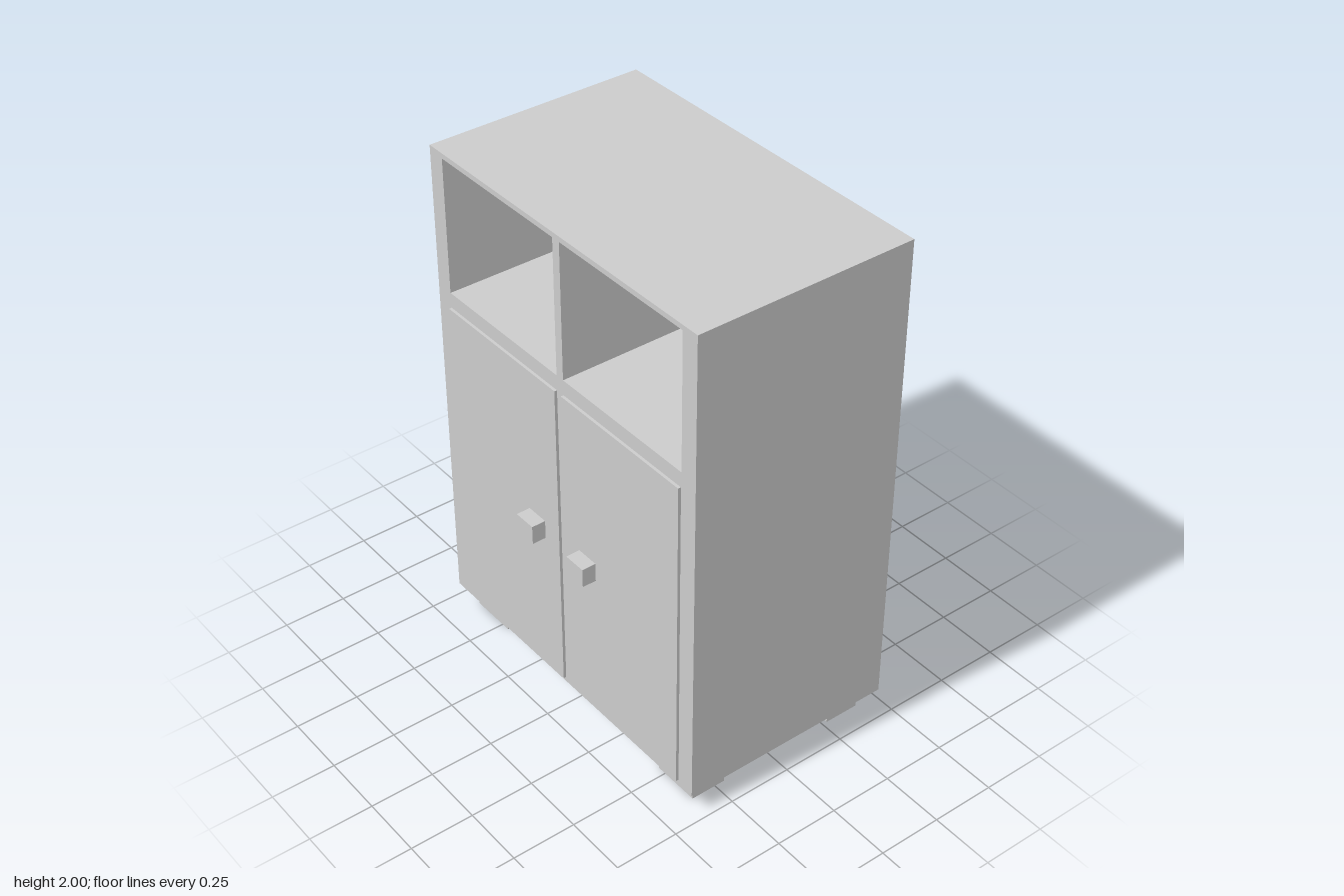
import * as THREE from 'three';

const material = new THREE.MeshStandardMaterial({ color: 0xcccccc, flatShading: true });

// Box given by its limits on each axis
function box(name, [x0, x1], [y0, y1], [z0, z1]) {
  const mesh = new THREE.Mesh(new THREE.BoxGeometry(x1 - x0, y1 - y0, z1 - z0), material);
  mesh.position.set((x0 + x1) / 2, (y0 + y1) / 2, (z0 + z1) / 2);
  mesh.name = name;
  return mesh;
}

// Adds a rectangle to a shape or path
function rectangle(path, x0, y0, x1, y1) {
  path.moveTo(x0, y0);
  path.lineTo(x1, y0);
  path.lineTo(x1, y1);
  path.lineTo(x0, y1);
  path.closePath();
  return path;
}

export function createModel() {
  const cabinet = new THREE.Group();
  cabinet.name = 'cabinet';

  const front = -0.4, back = 0.464, panel = 0.03;
  const bottom = 0.09, top = 2, half = 0.711;

  // Carcass with two open compartments, doors facing -x
  const outline = rectangle(new THREE.Shape(), -half, bottom, half, top);
  outline.holes.push(
    rectangle(new THREE.Path(), -0.64, 1.45, -0.018, 1.98),
    rectangle(new THREE.Path(), 0.018, 1.45, 0.64, 1.98)
  );
  const geometry = new THREE.ExtrudeGeometry(outline, {
    depth: back - panel - front,
    bevelEnabled: false,
  });
  geometry.rotateY(Math.PI / 2);
  geometry.translate(front, 0, 0);
  const carcass = new THREE.Mesh(geometry, material);
  carcass.name = 'carcass';
  cabinet.add(carcass);
  cabinet.add(box('backPanel', [back - panel, back], [bottom, top], [-half, half]));

  // Doors, knobs and feet, mirrored across z
  for (const [side, s] of [['left', -1], ['right', 1]]) {
    const span = (a, b) => (s > 0 ? [a, b] : [-b, -a]);
    cabinet.add(box(side + 'Door', [-0.411, front], [0.11, 1.39], span(0.018, 0.638)));
    cabinet.add(box(side + 'Knob', [-0.466, -0.411], [0.715, 0.79], span(0.1, 0.192)));
    cabinet.add(box(side + 'FrontFoot', [-0.35, -0.21], [0, bottom], span(0.465, 0.655)));
    cabinet.add(box(side + 'BackFoot', [0.27, 0.41], [0, bottom], span(0.465, 0.655)));
  }
  return cabinet;
}
